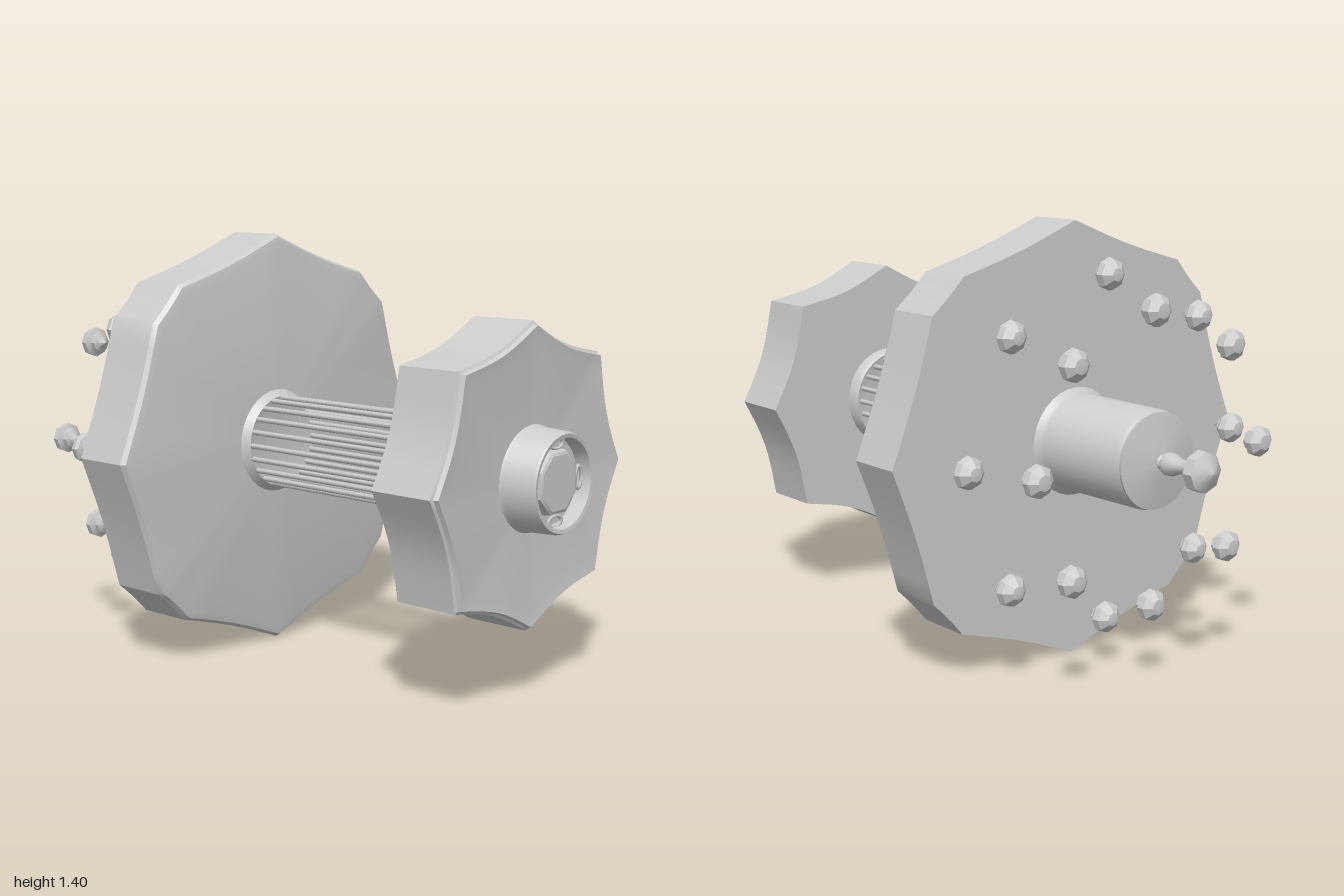
import * as THREE from 'three';
import { toCreasedNormals, mergeVertices } from 'three/addons/utils/BufferGeometryUtils.js';

const CY = 0.7; // height of the main axis
const AX = -0.01; // sideways offset of the hub parts
const material = new THREE.MeshStandardMaterial({ color: 0xcccccc, side: THREE.DoubleSide });

function addMesh(parent, name, geometry, x = 0, y = 0, z = 0) {
  const mesh = new THREE.Mesh(geometry, material);
  mesh.name = name;
  mesh.position.set(x, y, z);
  parent.add(mesh);
  return mesh;
}

// Turned part along z; profile is [radius, z] with z rising
function turned(profile, segments, crease = 0.6) {
  const points = profile.map(([r, z]) => new THREE.Vector2(r, z));
  const geometry = new THREE.LatheGeometry(points, segments);
  geometry.rotateX(Math.PI / 2);
  return toCreasedNormals(geometry, crease);
}

// Closed outline from corners, each edge bowed inwards
function bowedOutline(corners, bow, steps) {
  const outline = [];
  corners.forEach(([x0, y0], i) => {
    const [x1, y1] = corners[(i + 1) % corners.length];
    const length = Math.hypot(x1 - x0, y1 - y0);
    for (let s = 0; s < steps; s++) {
      const t = s / steps;
      const x = x0 + (x1 - x0) * t;
      const y = y0 + (y1 - y0) * t;
      const pull = 1 - (bow * length * Math.sin(Math.PI * t)) / Math.hypot(x, y);
      outline.push([x * pull, y * pull]);
    }
  });
  return outline;
}

// Solid plate from a counter-clockwise outline; sections are [z, scale], back to front
function plate(outline, sections) {
  const n = outline.length;
  const positions = [];
  const index = [];
  for (const [z, scale] of sections) {
    for (const [x, y] of outline) positions.push(x * scale, y * scale, z);
  }
  for (let k = 0; k < sections.length - 1; k++) {
    for (let i = 0; i < n; i++) {
      const a = k * n + i;
      const b = k * n + ((i + 1) % n);
      index.push(a, b, b + n, a, b + n, a + n);
    }
  }
  const back = sections.length * n;
  const last = (sections.length - 1) * n;
  positions.push(0, 0, sections[0][0], 0, 0, sections[sections.length - 1][0]);
  for (let i = 0; i < n; i++) {
    const j = (i + 1) % n;
    index.push(back, j, i, back + 1, last + i, last + j);
  }
  const geometry = new THREE.BufferGeometry();
  geometry.setAttribute('position', new THREE.Float32BufferAttribute(positions, 3));
  geometry.setIndex(index);
  return toCreasedNormals(mergeVertices(geometry), 0.55);
}

export function createModel() {
  const model = new THREE.Group();
  model.name = 'spaceStation';

  // Large rear disc: four points joined by clipped corners
  const bigCorners = [];
  for (let q = 0; q < 4; q++) {
    const c = Math.round(Math.cos((q * Math.PI) / 2));
    const s = Math.round(Math.sin((q * Math.PI) / 2));
    for (const [x, y] of [[0.7, 0], [0.55, 0.445], [0.435, 0.553]]) {
      bigCorners.push([x * c - y * s, x * s + y * c]);
    }
  }
  addMesh(model, 'largeDisc', plate(bowedOutline(bigCorners, 0.02, 6),
    [[-0.39, 1], [-0.2, 1], [-0.185, 0.985], [-0.18, 0.95]]), 0, CY);

  // Smaller front disc: eight points with scalloped edges
  const smallCorners = [];
  for (let i = 0; i < 8; i++) {
    const angle = (i * Math.PI) / 4;
    const r = i % 2 ? 0.5 : 0.475;
    smallCorners.push([r * Math.cos(angle), r * Math.sin(angle)]);
  }
  addMesh(model, 'smallDisc', plate(bowedOutline(smallCorners, 0.055, 8),
    [[0.65, 1], [0.865, 1], [0.87, 0.98], [0.885, 0.97], [0.88, 0.88]]), AX + 0.005, CY);

  // Cage of rods between the discs, with a collar at each end
  const cage = new THREE.Group();
  cage.name = 'rodCage';
  cage.position.set(AX, CY, 0);
  model.add(cage);
  const rodGeometry = new THREE.CylinderGeometry(0.009, 0.009, 0.83, 6);
  rodGeometry.rotateX(Math.PI / 2);
  const rods = 20;
  for (let i = 0; i < rods; i++) {
    const angle = (i / rods) * Math.PI * 2;
    addMesh(cage, 'rod', rodGeometry, 0.148 * Math.cos(angle), 0.148 * Math.sin(angle), 0.235);
  }
  addMesh(cage, 'frontCollar', turned(
    [[0, 0.61], [0.14, 0.61], [0.165, 0.605], [0.172, 0.615], [0.175, 0.65]], 32));
  addMesh(cage, 'rearCollar', turned(
    [[0.175, -0.18], [0.163, -0.165], [0.155, -0.155], [0.13, -0.16], [0, -0.16]], 32));

  // Front docking hub with recessed mouth
  const dock = new THREE.Group();
  dock.name = 'dockingHub';
  dock.position.set(AX, CY, 0);
  model.add(dock);
  addMesh(dock, 'hubSleeve', turned([[0.168, 0.875], [0.16, 0.89], [0.155, 0.99], [0.15, 1],
    [0.138, 0.998], [0.132, 0.95], [0, 0.95]], 32));
  const mouth = addMesh(dock, 'mouthPlate', turned(
    [[0.105, 0.95], [0.1, 0.975], [0.09, 0.98], [0, 0.98]], 8, 0.4));
  mouth.rotation.z = Math.PI / 8;
  const portGeometry = new THREE.TorusGeometry(0.022, 0.006, 6, 16);
  for (let i = 0; i < 4; i++) {
    const angle = (i * Math.PI) / 2;
    const port = addMesh(dock, 'port', portGeometry,
      0.118 * Math.cos(angle), 0.118 * Math.sin(angle), 0.965);
    port.rotation.z = angle;
    port.scale.set(0.75, 1.5, 1);
  }

  // Rear hub with shallow conical cap
  addMesh(model, 'rearHub', turned([[0, -0.79], [0.04, -0.785], [0.15, -0.765], [0.148, -0.755],
    [0.155, -0.74], [0.156, -0.42], [0.163, -0.405], [0.178, -0.385]], 32), AX, CY);

  // Antenna on the rear hub
  addMesh(model, 'antennaStem', turned([[0.028, -0.91], [0.022, -0.89], [0.024, -0.86],
    [0.036, -0.83], [0.036, -0.81], [0.022, -0.795], [0.03, -0.775]], 12, 0.8), AX, CY);
  addMesh(model, 'antennaKnob', turned([[0, -1], [0.022, -0.992], [0.062, -0.968],
    [0.064, -0.935], [0.032, -0.908], [0, -0.9]], 8, 0.5), AX, CY);

  // Two rings of floating pods, shaped like spinning tops
  const blunt = turned([[0, -0.045], [0.025, -0.042], [0.049, -0.022], [0.051, 0],
    [0.034, 0.008], [0.034, 0.024], [0.018, 0.032], [0, 0.048]], 8, 0.5);
  const pointed = turned([[0, -0.048], [0.022, -0.044], [0.047, -0.022], [0.052, -0.002],
    [0.046, 0.008], [0.032, 0.014], [0.032, 0.026], [0.014, 0.042], [0, 0.064]], 8, 0.5);
  for (const [name, geometry, r, z] of [
    ['innerPod', blunt, 0.455, -0.74], ['outerPod', pointed, 0.545, -0.535]]) {
    for (let i = 0; i < 8; i++) {
      const angle = (i * Math.PI) / 4;
      addMesh(model, name, geometry, AX + r * Math.cos(angle), CY + r * Math.sin(angle), z);
    }
  }
  return model;
}
